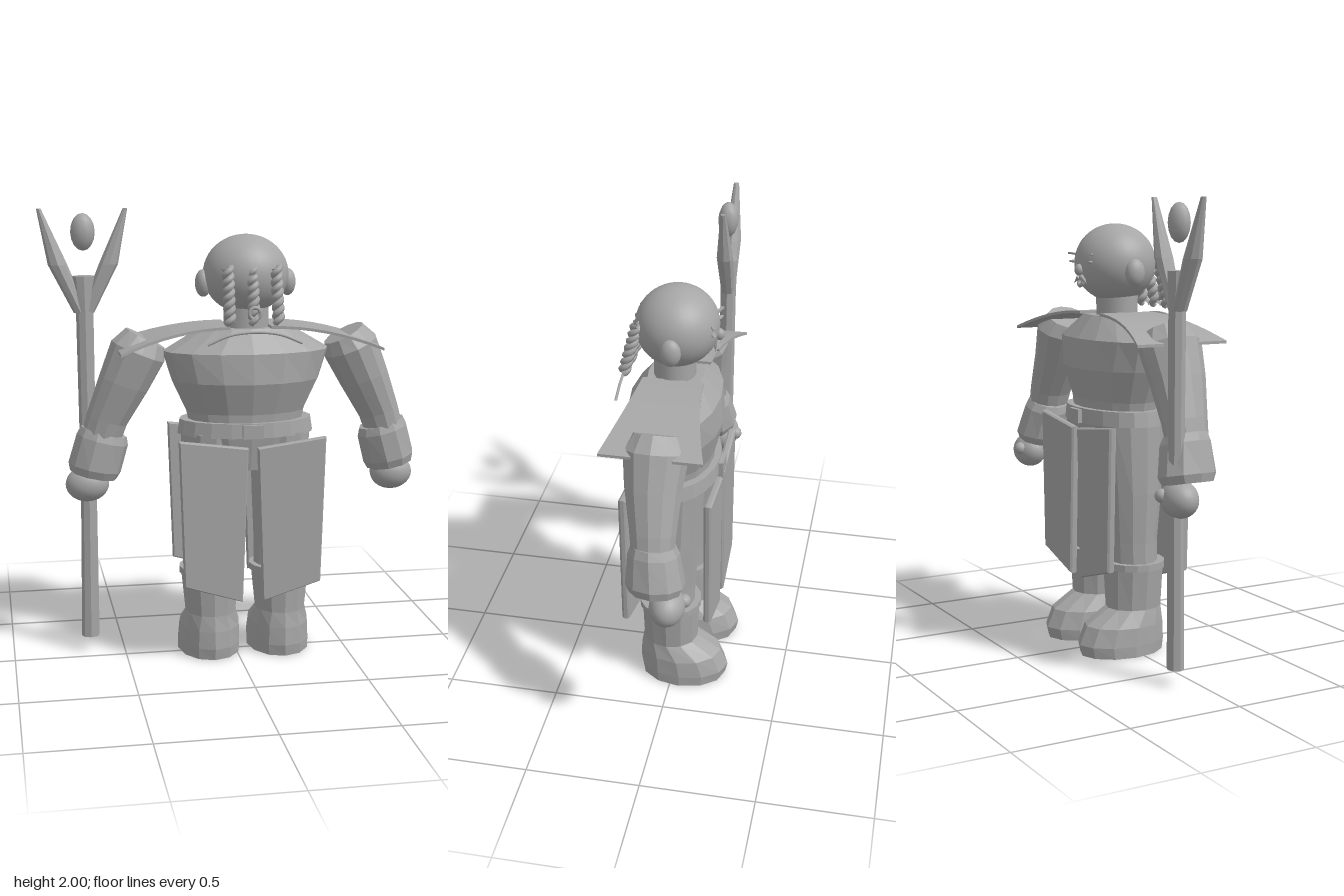
import * as THREE from 'three';

const grey = new THREE.MeshStandardMaterial({ color: 0xa6a6a6 });
grey.name = 'clay grey';
const CX = 0.045; // the figure stands a little to the side of the staff

export function createModel() {
  const model = new THREE.Group();
  const figure = new THREE.Group();
  figure.name = 'figure';
  figure.position.x = CX;
  model.add(figure);

  const add = (parent, name, geometry, x = 0, y = 0, z = 0) => {
    const mesh = new THREE.Mesh(geometry, grey);
    mesh.name = name;
    mesh.position.set(x, y, z);
    parent.add(mesh);
    return mesh;
  };

  // Faceted skin over elliptical rings, lowest first: [x, y, z, rx, rz, tilt]
  const loft = (rings, sides = 12, s = 1) => {
    const pos = [], index = [];
    for (const [x, y, z, rx, rz, tilt = 0] of rings) {
      for (let j = 0; j < sides; j++) {
        const t = (j / sides) * Math.PI * 2, c = rx * Math.cos(t);
        pos.push(s * x + c * Math.cos(tilt), y + s * c * Math.sin(tilt), z + rz * Math.sin(t));
      }
    }
    for (let i = 0; i < rings.length - 1; i++) {
      for (let j = 0; j < sides; j++) {
        const a = i * sides + j, b = i * sides + (j + 1) % sides;
        index.push(a, a + sides, b + sides, a, b + sides, b);
      }
    }
    const top = (rings.length - 1) * sides;
    for (let j = 1; j < sides - 1; j++) {
      index.push(0, j, j + 1, top, top + j + 1, top + j);
    }
    const g = new THREE.BufferGeometry();
    g.setAttribute('position', new THREE.Float32BufferAttribute(pos, 3));
    g.setIndex(index);
    const flat = g.toNonIndexed();
    flat.computeVertexNormals();
    return flat;
  };
  const ball = (rx, ry, rz, w = 24, h = 16) => new THREE.SphereGeometry(1, w, h).scale(rx, ry, rz);
  const tube = (points, r, n = 24, sides = 8) =>
    new THREE.TubeGeometry(new THREE.CatmullRomCurve3(points), n, r, sides);

  // Torso, belt and hips
  add(figure, 'torso', loft([
    [0, 1.05, 0.015, 0.25, 0.16], [0, 1.12, 0.015, 0.265, 0.165], [0, 1.26, 0.02, 0.33, 0.205],
    [0, 1.39, 0.02, 0.37, 0.195], [0, 1.49, 0.02, 0.2, 0.12],
  ], 16));
  add(figure, 'belt', loft([[0, 1.02, 0.01, 0.305, 0.19], [0, 1.085, 0.01, 0.295, 0.185]], 20));
  add(figure, 'hips', loft([[0, 0.87, 0.015, 0.2, 0.14], [0, 1.03, 0.015, 0.28, 0.17]], 16));
  add(figure, 'frontBuckle', new THREE.BoxGeometry(0.09, 0.06, 0.02), 0, 1.05, 0.2);
  add(figure, 'backBuckle', new THREE.BoxGeometry(0.09, 0.06, 0.02), 0, 1.05, -0.185);

  // Neck, head and face
  add(figure, 'neck', new THREE.CylinderGeometry(0.1, 0.1, 0.12, 20).scale(1, 1, 0.9), 0, 1.54, 0.025);
  add(figure, 'head', ball(0.187, 0.172, 0.178, 32, 24), 0, 1.718, 0.015);
  add(figure, 'nose', ball(0.022, 0.026, 0.022, 12, 8), 0, 1.69, -0.163);
  const mouth = add(figure, 'mouthRing', new THREE.TorusGeometry(0.02, 0.009, 8, 16), 0, 1.64, -0.152);
  mouth.rotation.x = 0.4;

  // Pointed skirt plate outline, for the side towards +x
  const plate = (s) => {
    const shape = new THREE.Shape();
    [[0.02, 0.98], [0.325, 1.02], [0.305, 0.365], [0.045, 0.285]].forEach(([x, y], i) =>
      i ? shape.lineTo(s * x, y) : shape.moveTo(s * x, y));
    return new THREE.ExtrudeGeometry(shape, {
      depth: 0.016, bevelThickness: 0.009, bevelSize: 0.006, bevelOffset: -0.006, bevelSegments: 1,
    });
  };

  for (const s of [-1, 1]) {
    const side = s > 0 ? 'left' : 'right';

    // Face details
    add(figure, side + 'Ear', ball(0.036, 0.06, 0.045, 16, 12), s * 0.187, 1.68, 0.01);
    const eye = add(figure, side + 'Eye', ball(0.032, 0.006, 0.01, 12, 8), s * 0.075, 1.725, -0.148);
    eye.rotation.y = s * 0.4;
    const brow = add(figure, side + 'Brow', new THREE.BoxGeometry(0.07, 0.008, 0.012), s * 0.075, 1.757, -0.145);
    brow.rotation.set(0, s * 0.4, s * 0.1);
    const whisker = add(figure, side + 'Whisker', new THREE.ConeGeometry(0.012, 0.06, 8), s * 0.035, 1.645, -0.158);
    whisker.rotation.z = -s * 2.1;

    // Arm, bracer and hand
    add(figure, side + 'Arm', loft([
      [0.66, 0.95, -0.005, 0.085, 0.085, 0.25], [0.615, 1.09, 0, 0.092, 0.098, 0.3],
      [0.54, 1.25, 0.012, 0.112, 0.12, 0.35], [0.475, 1.39, 0.012, 0.125, 0.138, 0.4],
      [0.443, 1.447, 0.012, 0.095, 0.1, 0.5],
    ], 12, s));
    add(figure, side + 'Bracer', loft([
      [0.677, 0.84, -0.02, 0.105, 0.11, 0.22], [0.67, 0.875, -0.02, 0.118, 0.125, 0.22],
      [0.635, 1.0, -0.008, 0.116, 0.108, 0.26], [0.628, 1.035, -0.004, 0.104, 0.092, 0.28],
    ], 10, s));
    add(figure, side + 'Hand', ball(0.097, 0.08, 0.075), s * 0.7, 0.785, -0.075);
    add(figure, side + 'Thumb', ball(0.03, 0.03, 0.03, 12, 8), s * 0.67, 0.8, -0.14);

    // Trouser leg, cuff and boot with the toe towards -z
    add(figure, side + 'Leg', loft([
      [0.16, 0.36, 0.015, 0.12, 0.105], [0.16, 0.5, 0.012, 0.12, 0.108],
      [0.16, 0.72, 0.015, 0.13, 0.125], [0.155, 1.03, 0.015, 0.135, 0.15],
    ], 12, s));
    add(figure, side + 'Cuff', loft([[0.16, 0.38, 0.018, 0.142, 0.14], [0.16, 0.41, 0.018, 0.142, 0.14]], 16, s));
    add(figure, side + 'Boot', loft([
      [0.16, 0, -0.043, 0.142, 0.195], [0.16, 0.05, -0.045, 0.143, 0.205],
      [0.16, 0.13, -0.03, 0.138, 0.185], [0.16, 0.2, 0.018, 0.115, 0.125],
      [0.16, 0.38, 0.018, 0.133, 0.132],
    ], 12, s));

    // Skirt plates
    add(figure, side + 'FrontSkirtPlate', plate(s), 0, 0, 0.189);
    const back = add(figure, side + 'BackSkirtPlate', plate(s), 0, 0.045, -0.182);
    back.scale.y = 0.97;

    // Curved mantle that widens over the shoulder
    const mantle = new THREE.BoxGeometry(1, 0.012, 1, 8, 1, 1);
    const p = mantle.attributes.position;
    for (let i = 0; i < p.count; i++) {
      const u = p.getX(i) + 0.5, w = s > 0 ? u : 1 - u;
      p.setXYZ(i, s * (0.09 + 0.48 * w), p.getY(i) + 1.497 - 0.095 * w * w,
        0.017 + p.getZ(i) * 2 * (0.13 + 0.025 * w + 0.06 * w * w));
    }
    add(figure, side + 'Mantle', mantle.toNonIndexed()).geometry.computeVertexNormals();
  }

  // Thin neck cord arching over the chest
  const V = (x, y, z) => new THREE.Vector3(x, y, z);
  add(figure, 'neckCord', tube(
    [V(-0.205, 1.44, 0.24), V(-0.11, 1.478, 0.24), V(0, 1.49, 0.24), V(0.11, 1.478, 0.24), V(0.205, 1.44, 0.24)], 0.006));

  // Three braids, each of two twisted strands
  for (const x of [-0.105, 0, 0.105]) {
    const braid = new THREE.Group();
    braid.name = 'braid';
    for (const phase of [0, Math.PI]) {
      const pts = [];
      for (let i = 0; i <= 32; i++) {
        const t = i / 32, a = phase + t * Math.PI * 7;
        pts.push(V(x + 0.014 * Math.cos(a), 1.76 - 0.235 * t, 0.165 + 0.06 * t + 0.014 * Math.sin(a)));
      }
      add(braid, 'braidStrand', tube(pts, 0.0145, 64, 6));
    }
    figure.add(braid);
  }
  add(figure, 'braidRing', new THREE.TorusGeometry(0.024, 0.008, 8, 16), 0, 1.57, 0.235);

  // Forked staff with a floating stone
  const staff = new THREE.Group();
  staff.name = 'staff';
  staff.position.set(-0.653, 0, -0.087);
  model.add(staff);
  add(staff, 'staffShaft', loft([
    [0, 0.07, 0, 0.04, 0.036], [0.005, 0.8, 0, 0.035, 0.034], [0.003, 1.55, 0, 0.038, 0.036], [0, 1.71, 0, 0.048, 0.04],
  ], 8));
  for (const s of [-1, 1]) {
    add(staff, 'staffProng', loft([
      [0.015, 1.55, 0, 0.03, 0.03], [0.11, 1.76, 0, 0.042, 0.038], [0.186, 2, 0, 0.01, 0.012],
    ], 8, s));
  }
  add(staff, 'staffStone', ball(0.053, 0.081, 0.046, 10, 8), 0, 1.9, 0.005);

  return model;
}
